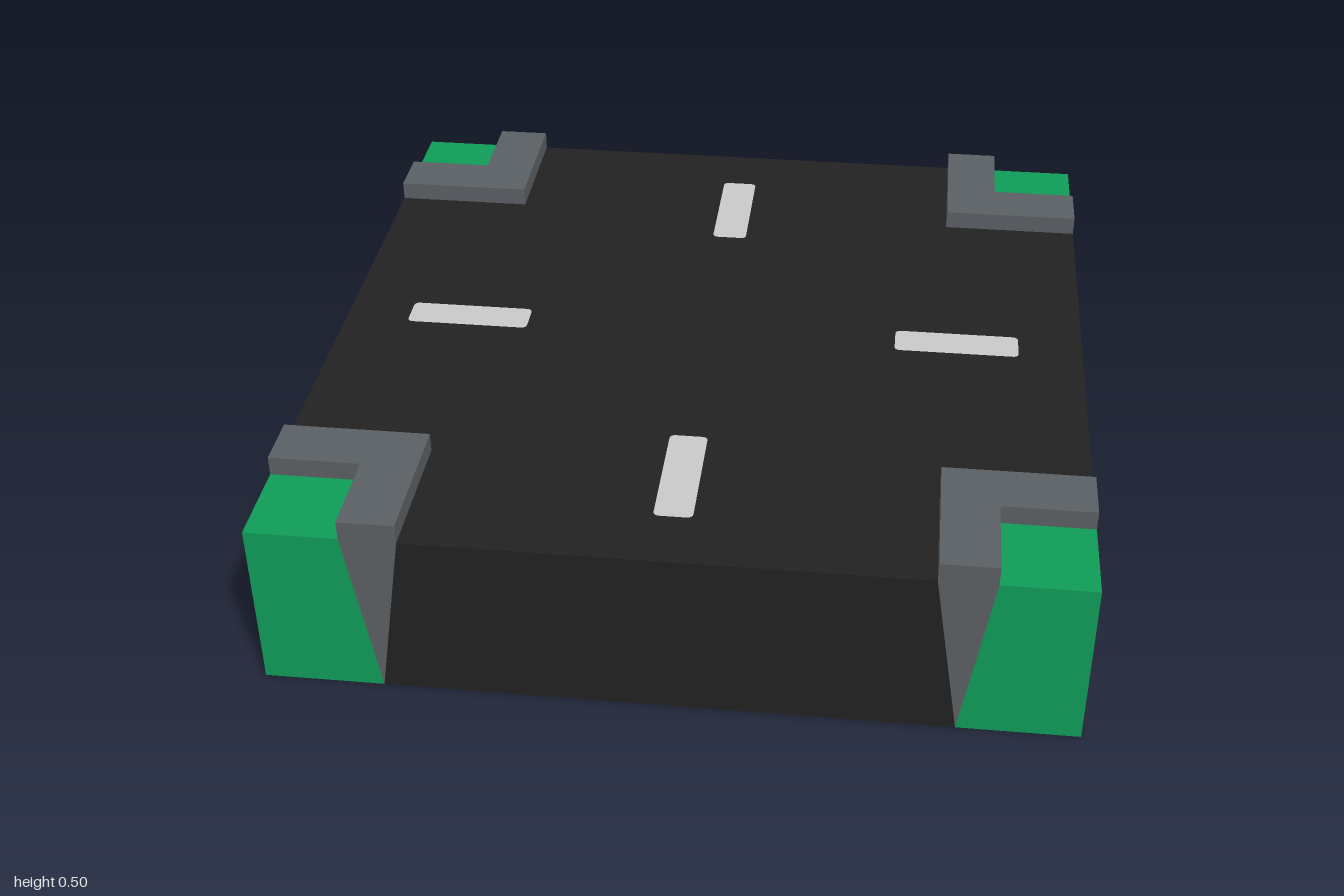
import * as THREE from 'three';

const TOP = 0.45;    // road and verge height
const CURB = 0.5;    // curb height
const OUT = 0.63;    // curb edge on the road side
const IN = 0.77;     // curb edge on the verge side
const FOOT = 0.7;    // point where the curb tapers out at the ground

const mat = (name, color) => {
  const m = new THREE.MeshStandardMaterial({ color, side: THREE.DoubleSide });
  m.name = name;
  return m;
};

const toShape = (pts) => new THREE.Shape(pts.map(([x, y]) => new THREE.Vector2(x, y)));

// Rounded rectangle outline for a lane mark
function markPath(Type, cx, cy, w, h, r = 0.014) {
  const p = new Type();
  const x = w / 2 - r, y = h / 2 - r;
  p.absarc(cx + x, cy + y, r, 0, Math.PI / 2);
  p.absarc(cx - x, cy + y, r, Math.PI / 2, Math.PI);
  p.absarc(cx - x, cy - y, r, Math.PI, Math.PI * 1.5);
  p.absarc(cx + x, cy - y, r, Math.PI * 1.5, Math.PI * 2);
  p.closePath();
  return p;
}

export function createModel() {
  const asphalt = mat('asphalt', 0x222222);
  const stone = mat('curb grey', 0x5b6064);
  const grass = mat('grass green', 0x0f9d58);
  const paint = mat('lane paint', 0xcacaca);

  const model = new THREE.Group();
  model.name = 'crossroadsTile';

  const add = (parent, name, geometry, material) => {
    const mesh = new THREE.Mesh(geometry, material);
    mesh.name = name;
    parent.add(mesh);
  };
  // Horizontal face at height y; shape y points to -z
  const flat = (shape, y) => new THREE.ShapeGeometry(shape, 4).rotateX(-Math.PI / 2).translate(0, y, 0);
  // Vertical face on the tile's front edge
  const wall = (pts) => new THREE.ShapeGeometry(toShape(pts)).translate(0, 0, 1);
  // Narrow vertical face of a curb step
  const riser = (x, z, w, angle) => new THREE.PlaneGeometry(w, CURB - TOP)
    .rotateY(angle).translate(x, (CURB + TOP) / 2, z);

  // Cross-shaped road surface, with openings filled by the lane marks
  const road = toShape([
    [OUT, -1], [OUT, -OUT], [1, -OUT], [1, OUT], [OUT, OUT], [OUT, 1],
    [-OUT, 1], [-OUT, OUT], [-1, OUT], [-1, -OUT], [-OUT, -OUT], [-OUT, -1],
  ]);
  const marks = [[0, 0.665], [0.665, 0], [0, -0.665], [-0.665, 0]];
  for (const [x, y] of marks) {
    const size = x ? [0.33, 0.096] : [0.096, 0.33];
    road.holes.push(markPath(THREE.Path, x, y, ...size));
    add(model, 'laneMark', flat(markPath(THREE.Shape, x, y, ...size), TOP), paint);
  }
  add(model, 'roadSurface', flat(road, TOP), asphalt);

  // Four equal quarters: a road end and a corner
  for (let i = 0; i < 4; i++) {
    const quarter = new THREE.Group();
    quarter.name = 'quarter';
    quarter.rotation.y = i * Math.PI / 2;
    model.add(quarter);

    add(quarter, 'roadEnd', wall([[-FOOT, 0], [FOOT, 0], [OUT, TOP], [-OUT, TOP]]), asphalt);

    // Corner verge and L-shaped curb tops
    add(quarter, 'vergeTop', flat(toShape([[IN, -1], [1, -1], [1, -IN], [IN, -IN]]), TOP), grass);
    add(quarter, 'curbTop', flat(toShape([
      [OUT, -1], [IN, -1], [IN, -IN], [1, -IN], [1, -OUT], [OUT, -OUT],
    ]), CURB), stone);

    // Outer edges of the verge and the tapered curb ends
    for (const s of [1, -1]) {
      const side = (pts) => wall(pts.map(([x, y]) => [x * s, y]));
      add(quarter, 'vergeSide', side([[FOOT, 0], [1, 0], [1, TOP], [IN, TOP]]), grass);
      add(quarter, 'curbEnd', side([
        [FOOT, 0], [IN, TOP], [IN, CURB], [OUT, CURB], [OUT, TOP],
      ]), stone);
    }

    // Curb steps facing the road, then the verge
    const mo = (1 + OUT) / 2, mi = (1 + IN) / 2;
    add(quarter, 'curbStep', riser(mo, OUT, 1 - OUT, Math.PI), stone);
    add(quarter, 'curbStep', riser(OUT, mo, 1 - OUT, -Math.PI / 2), stone);
    add(quarter, 'curbStep', riser(mi, IN, 1 - IN, 0), stone);
    add(quarter, 'curbStep', riser(IN, mi, 1 - IN, Math.PI / 2), stone);
  }
  return model;
}
